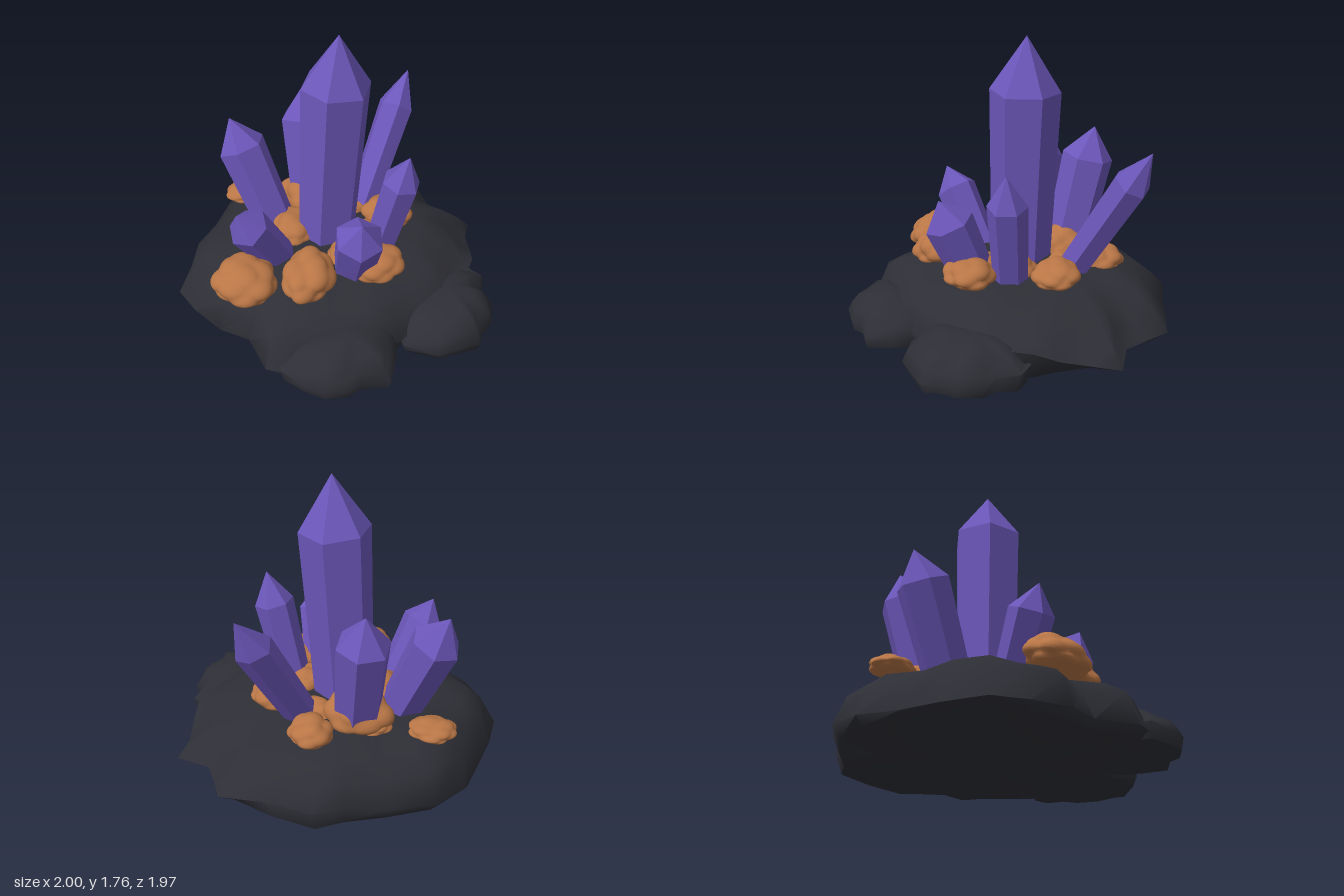
import * as THREE from 'three';
import { mergeVertices, toCreasedNormals } from 'three/addons/utils/BufferGeometryUtils.js';

const material = (name, color) => Object.assign(new THREE.MeshStandardMaterial({ color }), { name });

// Rock lofted from an outline of [x, z, height of the widest edge, droop], listed clockwise from above.
// The slope lists [scale, height fraction] from the edge up to the top; droop lowers the
// slope near a corner and tucks the foot in beneath it.
function rockGeometry(outline, cx, cz, height, foot, slope) {
  const rings = [[0, 0], [foot, 0], [1, null], ...slope, [0, 1]];
  const n = outline.length, pos = [], index = [];
  rings.forEach(([s, h], r) => outline.forEach(([x, z, edge, droop = 0], i) => {
    const wobble = r > 2 && s > 0 ? 0.02 * Math.sin(i * 2.3 + r * 1.1) * s : 0;
    const k = r === 1 ? s - droop : s + wobble;
    let y = h === null ? edge : h * height + wobble * 0.5;
    if (r > 2) y -= droop * s ** 4;
    pos.push(cx + (x - cx) * k, y, cz + (z - cz) * k);
  }));
  for (let r = 0; r < rings.length - 1; r++) {
    for (let i = 0; i < n; i++) {
      const a = r * n + i, a2 = r * n + (i + 1) % n, b = a + n, b2 = a2 + n;
      if (rings[r][0] > 0) index.push(a, b, a2);
      if (rings[r + 1][0] > 0) index.push(b, b2, a2);
    }
  }
  const geo = new THREE.BufferGeometry();
  geo.setAttribute('position', new THREE.Float32BufferAttribute(pos, 3));
  geo.setIndex(index);
  return toCreasedNormals(geo, 1.2);
}

// Six-sided crystal with a pointed tip, narrowing slightly toward its base
function crystalGeometry(length, radius, shoulder) {
  const geo = new THREE.CylinderGeometry(1, 1, 1, 6, 2).toNonIndexed();
  const p = geo.attributes.position;
  for (let i = 0; i < p.count; i++) {
    const y = p.getY(i);
    const r = y > 0.4 ? 0 : y > -0.1 ? radius : radius * 0.86;
    // Uneven shoulder corners
    const corner = Math.round(Math.atan2(p.getX(i), p.getZ(i)) / (Math.PI / 3));
    const level = y > 0.4 ? 1 : y > -0.1 ? shoulder + 0.012 * Math.sin(corner * corner * 2 + length * 9) : 0;
    p.setXYZ(i, p.getX(i) * r, level * length, p.getZ(i) * r);
  }
  geo.computeVertexNormals();
  return geo;
}

// Knobbly mineral: rounded knobs on a domed body with a flattened underside
function lumpGeometry(seed) {
  const geo = new THREE.IcosahedronGeometry(1, 7);
  geo.deleteAttribute('uv');
  geo.deleteAttribute('normal');
  const lump = mergeVertices(geo, 1e-4);
  const p = lump.attributes.position, v = new THREE.Vector3(), knobs = [];
  for (let k = 0; k < 16; k++) {
    const y = 1 - (2 * k + 1) / 16, a = k * 2.4 + seed, r = Math.sqrt(1 - y * y);
    knobs.push(new THREE.Vector3(r * Math.cos(a), y + 0.2 * Math.sin(k * 5 + seed), r * Math.sin(a)).normalize());
  }
  for (let i = 0; i < p.count; i++) {
    v.fromBufferAttribute(p, i);
    const near = Math.max(...knobs.map((k) => k.dot(v)));
    const swell = 0.06 * Math.sin(v.x * 3 + seed * 2) * Math.cos(v.z * 3 + seed);
    v.multiplyScalar(1.02 - 1.0 * (1 - near) + swell);
    p.setXYZ(i, v.x, v.y < 0 ? v.y * 0.7 : v.y, v.z);
  }
  lump.computeVertexNormals();
  return lump;
}

export function createModel() {
  const model = new THREE.Group();
  model.name = 'crystalCluster';
  const stone = material('dark stone', 0x2e2f36);
  const violet = material('violet crystal', 0x6c57ba);
  const ochre = material('ochre mineral', 0xb97646);

  const add = (name, geo, mat) => {
    const mesh = new THREE.Mesh(geo, mat);
    mesh.name = name;
    model.add(mesh);
    return mesh;
  };

  // Stone base: a broad mound with two low lobes
  add('mainRock', rockGeometry([
    [-0.24, -0.99, 0.14], [0.04, -0.97, 0.13], [0.34, -0.97, 0.09, 0.07], [0.42, -0.85, 0.08, 0.09],
    [0.52, -0.72, 0.07, 0.1], [0.74, -0.69, 0.06, 0.13], [0.74, -0.53, 0.08, 0.11], [0.79, -0.35, 0.13, 0.08],
    [0.82, -0.2, 0.19, 0.04], [0.79, 0, 0.19], [0.73, 0.17, 0.17], [0.63, 0.34, 0.14], [0.48, 0.51, 0.1],
    [0.33, 0.65, 0.07], [0.1, 0.78, 0.05], [-0.12, 0.87, 0.04], [-0.26, 0.86, 0.04], [-0.42, 0.67, 0.05],
    [-0.62, 0.63, 0.05], [-0.83, 0.5, 0.04], [-0.99, 0.36, 0.03], [-1, 0.12, 0.03], [-0.98, -0.12, 0.03],
    [-0.96, -0.38, 0.05], [-0.84, -0.6, 0.07], [-0.6, -0.76, 0.09], [-0.38, -0.88, 0.12],
  ], -0.07, -0.08, 0.38, 0.95, [[0.91, 0.6], [0.8, 0.82], [0.6, 0.95], [0.28, 0.99]]), stone);

  const lobeSlope = [[0.9, 0.52], [0.75, 0.76], [0.52, 0.92], [0.25, 0.99]];
  add('sideRock', rockGeometry([
    [0.6, -0.1, 0.06], [0.8, -0.19, 0.12], [0.9, -0.14, 0.11], [0.91, -0.02, 0.09], [0.98, 0.05, 0.08],
    [1, 0.2, 0.07], [0.95, 0.32, 0.06], [0.95, 0.4, 0.06], [0.71, 0.54, 0.06], [0.5, 0.52, 0.07],
    [0.42, 0.4, 0.06], [0.45, 0.1, 0.06],
  ], 0.7, 0.17, 0.24, 0.93, lobeSlope), stone);

  add('frontRock', rockGeometry([
    [0.03, 0.42, 0.08], [0.25, 0.38, 0.08], [0.46, 0.5, 0.08], [0.48, 0.65, 0.08], [0.48, 0.8, 0.06],
    [0.31, 0.86, 0.06], [0.26, 0.93, 0.07], [0.12, 0.98, 0.07], [-0.02, 0.95, 0.07], [-0.16, 0.89, 0.09],
    [-0.18, 0.75, 0.09], [-0.08, 0.6, 0.08],
  ], 0.18, 0.66, 0.235, 0.95, lobeSlope), stone);

  // Crystals: name, base, tip, radius, shoulder fraction, twist
  const up = new THREE.Vector3(0, 1, 0);
  [
    ['centerCrystal', [-0.12, 0.28, -0.08], [-0.042, 1.765, -0.115], 0.213, 0.775, 0],
    ['backRightCrystal', [-0.28, 0.3, -0.35], [-0.378, 1.14, -0.53], 0.16, 0.77, 0.1],
    ['rightCrystal', [-0.46, 0.3, -0.12], [-0.77, 1.04, -0.21], 0.152, 0.75, 0.2],
    ['frontRightCrystal', [-0.35, 0.3, 0.18], [-0.53, 0.81, 0.43], 0.13, 0.74, 0.4],
    ['frontLeftCrystal', [0.11, 0.3, 0.18], [0.21, 0.835, 0.385], 0.15, 0.73, 0.3],
    ['leftCrystal', [0.22, 0.3, -0.04], [0.405, 1.06, -0.025], 0.12, 0.74, 0],
    ['backLeftCrystal', [0.03, 0.3, -0.37], [0.245, 1.16, -0.84], 0.115, 0.77, 0.25],
  ].forEach(([name, base, tip, radius, shoulder, twist]) => {
    const axis = new THREE.Vector3(...tip).sub(new THREE.Vector3(...base));
    const mesh = add(name, crystalGeometry(axis.length(), radius, shoulder), violet);
    mesh.position.set(...base);
    mesh.quaternion.setFromUnitVectors(up, axis.normalize());
    mesh.rotateY(twist);
  });

  // Mineral lumps around the crystals: x, y, z, half sizes and forward tilt
  [
    [-0.73, 0.37, -0.33, 0.14, 0.06, 0.12, 0],
    [-0.08, 0.37, -0.58, 0.13, 0.09, 0.14, 0],
    [0.23, 0.39, -0.31, 0.165, 0.09, 0.14, 0],
    [0.27, 0.4, 0.2, 0.16, 0.1, 0.155, 0],
    [-0.11, 0.4, 0.4, 0.155, 0.12, 0.19, 0.15],
    [-0.48, 0.375, 0.5, 0.195, 0.115, 0.175, 0.25],
    [-0.32, 0.38, -0.04, 0.15, 0.1, 0.17, 0],
    [-0.29, 0.4, -0.35, 0.2, 0.15, 0.17, 0],
    [0.12, 0.37, -0.06, 0.13, 0.09, 0.13, 0],
    [0.06, 0.36, 0.13, 0.12, 0.09, 0.11, 0],
    [-0.04, 0.36, -0.35, 0.13, 0.07, 0.1, 0],
    [-0.36, 0.365, -0.37, 0.14, 0.05, 0.13, 0],
  ].forEach(([x, y, z, sx, sy, sz, tilt], i) => {
    const mesh = add('mineralLump' + (i + 1), lumpGeometry(i * 1.37 + 0.5), ochre);
    mesh.position.set(x, y, z);
    mesh.scale.set(sx, sy, sz).multiplyScalar(1.05);
    mesh.rotation.x = tilt;
  });

  return model;
}
